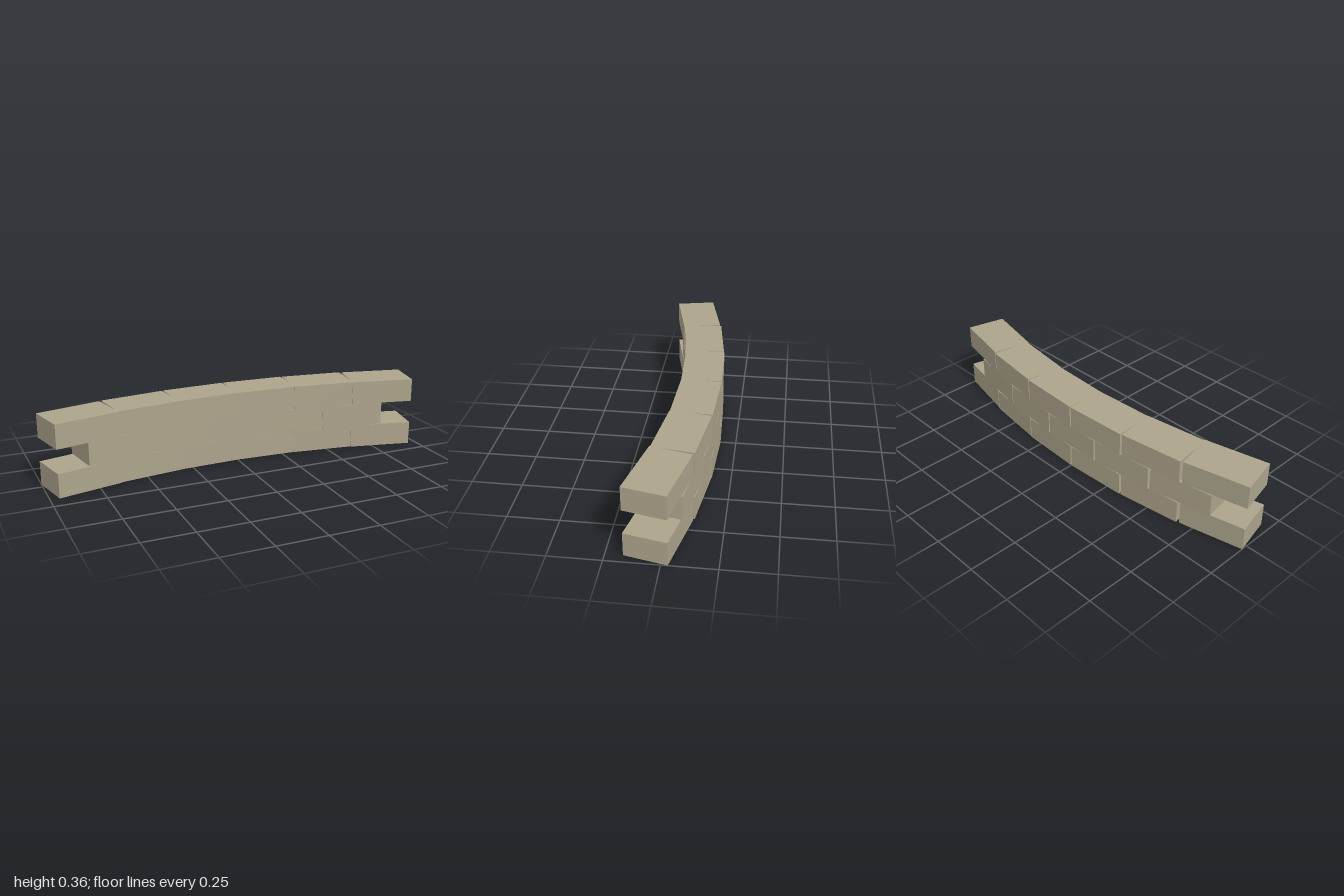
import * as THREE from 'three';

// A gently curved wall of three courses of bricks, the middle one offset by half a brick
export function createModel() {
  const group = new THREE.Group();
  group.name = 'curvedBrickWall';

  const stone = new THREE.MeshStandardMaterial({ color: 0xaca38b });
  stone.name = 'sandstone';

  const length = 0.328, height = 0.12, depth = 0.206;
  const brick = new THREE.BoxGeometry(length, height, depth);
  const turn = THREE.MathUtils.degToRad(5); // turn from one brick to the next

  const courses = [
    { name: 'bottomCourse', count: 6 },
    { name: 'middleCourse', count: 5 },
    { name: 'topCourse', count: 6 },
  ];

  courses.forEach(({ name, count }, row) => {
    const course = new THREE.Group();
    course.name = name;
    for (let i = 0; i < count; i++) {
      const n = i - (count - 1) / 2; // steps from the middle of the wall
      const mesh = new THREE.Mesh(brick, stone);
      mesh.name = 'brick';
      mesh.position.set(0.327 * n, height * (row + 0.5), -0.064 + 0.0156 * n * n);
      mesh.rotation.y = -turn * n;
      course.add(mesh);
    }
    group.add(course);
  });

  return group;
}
